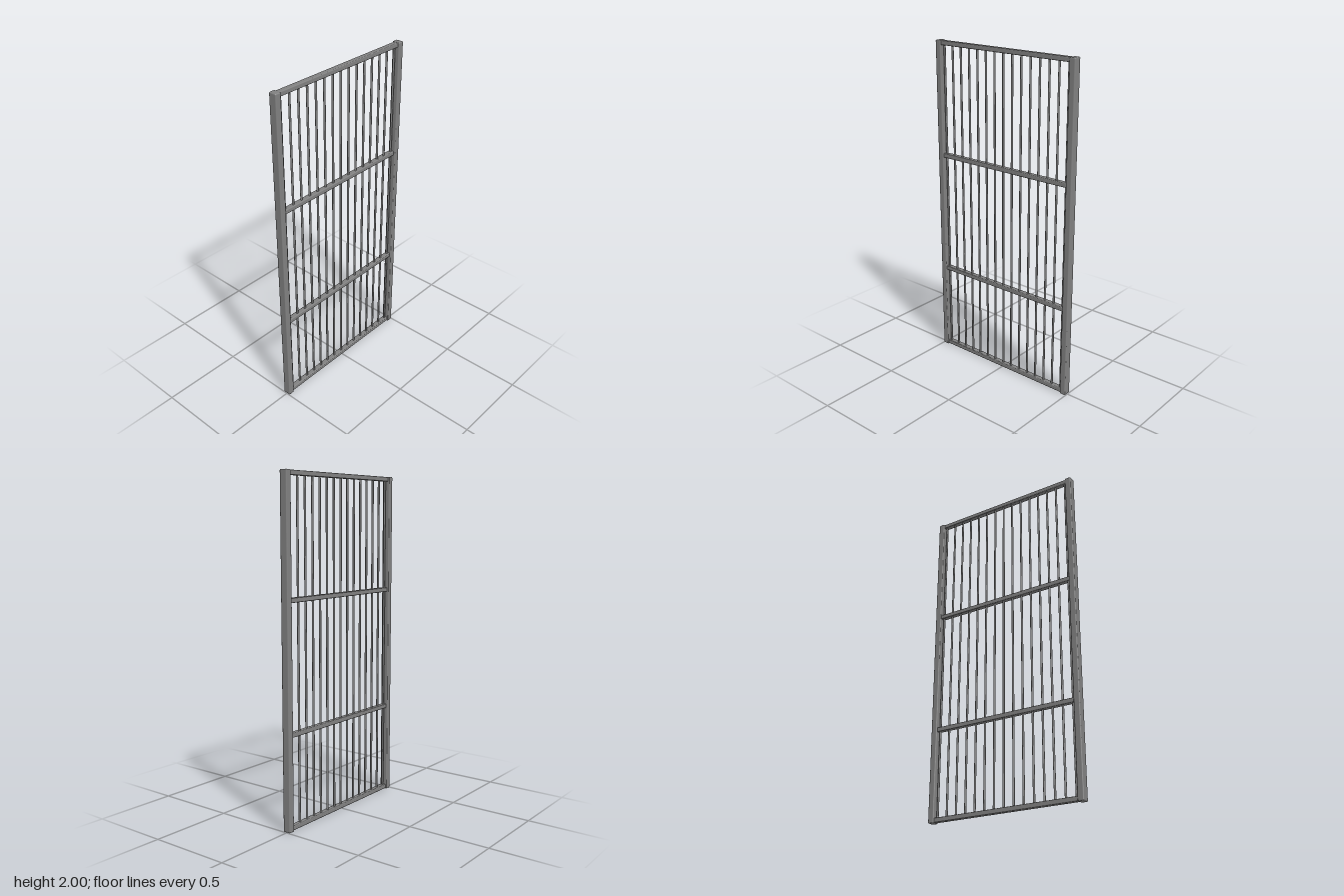
import * as THREE from 'three';
import { RoundedBoxGeometry } from 'three/addons/geometries/RoundedBoxGeometry.js';

export function createModel() {
  const model = new THREE.Group();
  model.name = 'barredPanel';
  const steel = new THREE.MeshStandardMaterial({ color: 0x808080 });
  steel.name = 'greySteel';

  const add = (name, geometry, x, y) => {
    const mesh = new THREE.Mesh(geometry, steel);
    mesh.name = name;
    mesh.position.set(x, y, 0);
    model.add(mesh);
  };

  // Side posts with softened edges
  const post = new RoundedBoxGeometry(0.038, 2, 0.048, 2, 0.006);
  add('leftPost', post, 0.479, 1);
  add('rightPost', post, -0.479, 1);

  // Four horizontal rails between the posts
  const rail = new RoundedBoxGeometry(0.93, 0.027, 0.032, 2, 0.005);
  [0.0165, 0.555, 1.305, 1.985].forEach((y, i) => add('rail' + (i + 1), rail, 0, y));

  // Fifteen slim upright bars running through the rails
  const bar = new THREE.CylinderGeometry(0.0065, 0.0065, 1.996, 10);
  const count = 15;
  for (let i = 0; i < count; i++) {
    add('bar' + (i + 1), bar, -0.447 + (0.894 * i) / (count - 1), 1);
  }
  return model;
}
